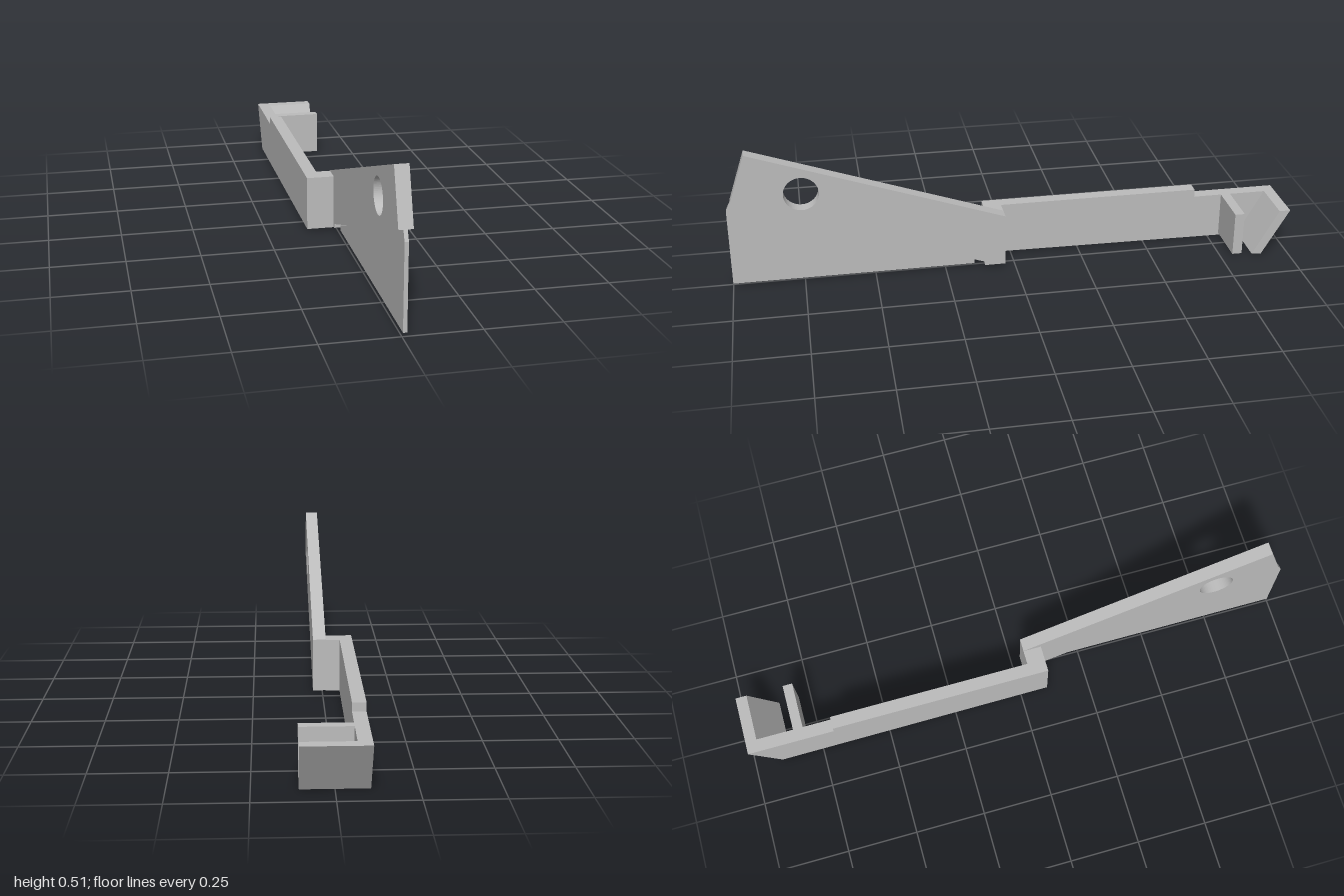
import * as THREE from 'three';

export function createModel() {
  const model = new THREE.Group();
  const grey = new THREE.MeshStandardMaterial({ color: 0xbcbcbc });
  grey.name = 'grey';

  // Side profile of [z, y] points, extruded across x from x0 to x1
  function slab(name, points, x0, x1, hole) {
    const shape = new THREE.Shape(points.map(([z, y]) => new THREE.Vector2(-z, y)));
    if (hole) {
      const path = new THREE.Path();
      path.absarc(-hole.z, hole.y, hole.r, 0, Math.PI * 2, true);
      shape.holes.push(path);
    }
    const geometry = new THREE.ExtrudeGeometry(shape, { depth: x1 - x0, bevelEnabled: false, curveSegments: 32 });
    geometry.rotateY(Math.PI / 2);
    geometry.translate(x0, 0, 0);
    const mesh = new THREE.Mesh(geometry, grey);
    mesh.name = name;
    model.add(mesh);
  }

  // Rising front arm with a round hole
  slab('frontArm', [
    [0.035, 0.01], [0.035, 0.2], [0.925, 0.506], [0.985, 0.327], [0.11, 0.024], [0.11, 0.01],
  ], -0.012, 0.034, { z: 0.743, y: 0.348, r: 0.061 });

  // Thin blade hanging below the arm
  slab('blade', [
    [1, 0.012], [1, 0.295], [0.985, 0.327], [0.34, 0.104], [0.145, 0.03], [0.145, 0.012],
  ], 0.003, 0.016);

  // Offset joint between the arm and the long bar
  slab('joint', [[0.1, 0.009], [0.1, 0.198], [0.035, 0.198], [0.035, 0.009]], -0.062, -0.012);

  // Long bar, stepped down towards its slanted rear end
  slab('longBar', [
    [0.1, 0.009], [0.1, 0.198], [-0.69, 0.198], [-0.69, 0.169], [-1, 0.169], [-0.902, 0],
  ], -0.107, -0.062);

  // Rear hook: upright prong and slanted back plate
  slab('prong', [[-0.793, 0.009], [-0.793, 0.169], [-0.828, 0.169], [-0.828, 0.009]], -0.062, 0.107);
  slab('backPlate', [[-0.867, 0.003], [-0.96, 0.169], [-1, 0.169], [-0.902, 0]], -0.062, 0.107);

  return model;
}
